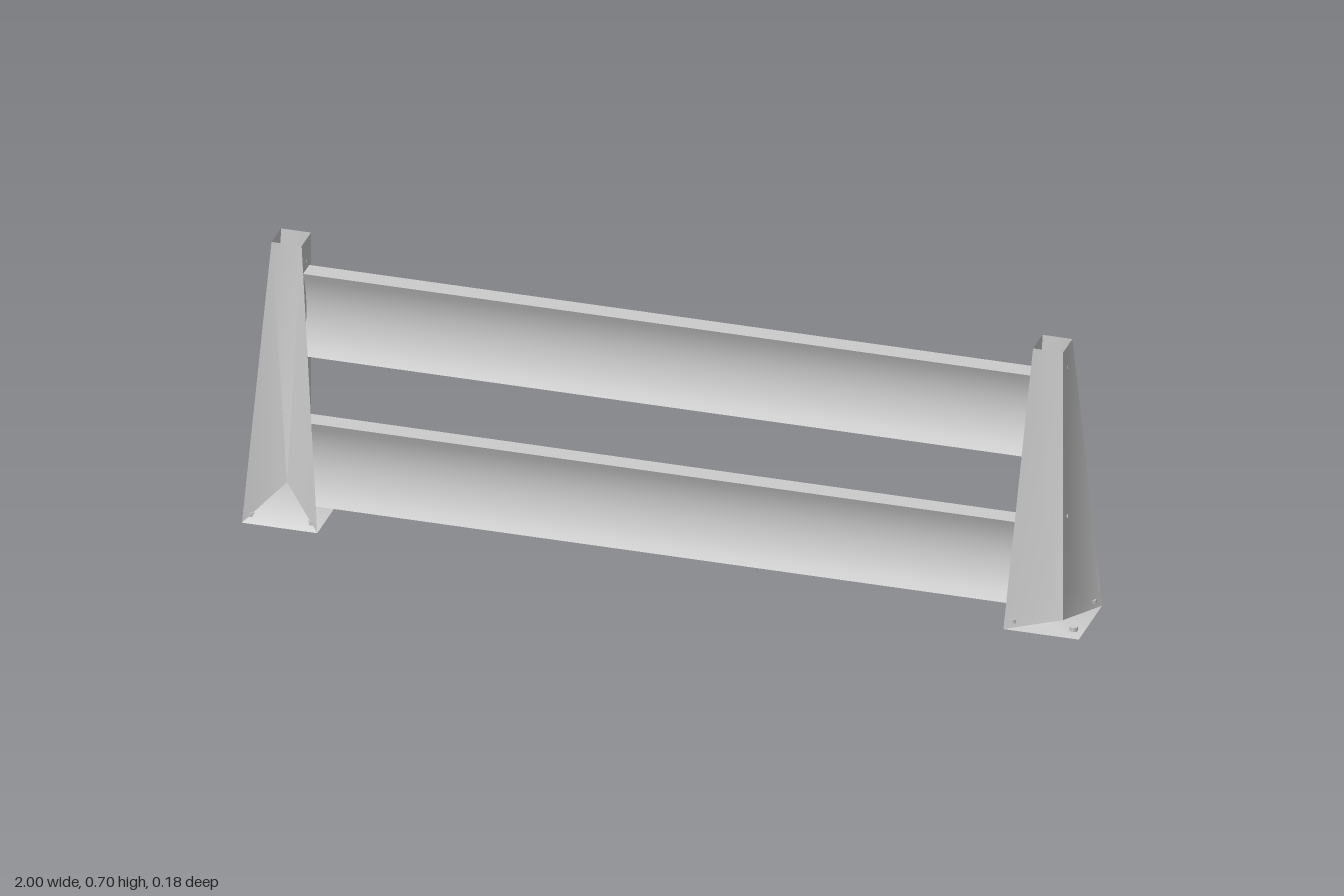
import * as THREE from 'three';
import { toCreasedNormals } from 'three/addons/utils/BufferGeometryUtils.js';

const steel = new THREE.MeshStandardMaterial({ color: 0xcccccc, side: THREE.DoubleSide });
steel.name = 'lightGreySteel';

const H = 0.7, TOP = 0.036, BASE = 0.09, LIP = 0.016;
const CORNERS = [[1, 1], [1, -1], [-1, -1], [-1, 1]];

function facets(name, triangles) {
  const geometry = new THREE.BufferGeometry();
  geometry.setAttribute('position', new THREE.Float32BufferAttribute(triangles.flat(2), 3));
  const mesh = new THREE.Mesh(toCreasedNormals(geometry, 0.7), steel);
  mesh.name = name;
  return mesh;
}

// Open post: three corners flare out to the base, the first one drops straight
function createPost(name) {
  const post = new THREE.Group();
  post.name = name;
  const at = ([x, z], r, y) => [x * r, y, z * r];
  const foot = (i) => (i === 0 ? at(CORNERS[0], TOP, LIP) : at(CORNERS[i], BASE, 0));
  const shell = [], plate = [];
  for (let i = 0; i < 4; i++) {
    const j = (i + 1) % 4;
    const a = CORNERS[i], b = CORNERS[j];
    const middle = [(a[0] + b[0]) / 2, (a[1] + b[1]) / 2];
    const aTop = at(a, TOP, H), bTop = at(b, TOP, H), midTop = at(middle, TOP, H);
    const fold = at(middle, 0.033, 0.09);
    shell.push(
      [aTop, fold, midTop], [aTop, foot(i), fold],
      [foot(i), foot(j), fold],
      [fold, bTop, midTop], [fold, foot(j), bTop]
    );
    // Base plate rises slightly towards the opening
    const aOut = at(a, BASE, 0), bOut = at(b, BASE, 0);
    const aIn = at(a, TOP, LIP), bIn = at(b, TOP, LIP);
    plate.push([aIn, aOut, bOut], [aIn, bOut, bIn]);

    // Small screw heads on the centre line of each wall
    for (const y of [0.265, 0.645]) {
      const screw = new THREE.Mesh(new THREE.BoxGeometry(0.004, 0.006, 0.004), steel);
      screw.name = 'screwHead';
      screw.position.set(...at(middle, 0.035, y));
      post.add(screw);
    }
  }
  post.add(facets('postShell', shell), facets('basePlate', plate));

  // Anchor bolts in the plate corners
  for (const [x, z] of CORNERS) {
    const bolt = new THREE.Mesh(new THREE.CylinderGeometry(0.01, 0.01, 0.01, 6), steel);
    bolt.name = 'anchorBolt';
    bolt.position.set(x * 0.073, 0.018, z * 0.073);
    post.add(bolt);
  }
  return post;
}

// Rail section: flat back, front hollowed by a shallow curve
function createRailGeometry(length, height, depth, hollow) {
  const h = height / 2, d = depth / 2;
  const section = new THREE.Shape();
  section.moveTo(d, -h);
  section.lineTo(d, h);
  section.lineTo(-d, h);
  section.quadraticCurveTo(-d + 2 * hollow, 0, -d, -h);
  const geometry = new THREE.ExtrudeGeometry(section, { depth: length, bevelEnabled: false, curveSegments: 10 });
  geometry.translate(0, 0, -length / 2).rotateY(Math.PI / 2);
  return toCreasedNormals(geometry, 0.5);
}

export function createModel() {
  const model = new THREE.Group();
  model.name = 'guardBarrier';

  const leftPost = createPost('leftPost');
  leftPost.position.x = 0.91;
  const rightPost = createPost('rightPost');
  rightPost.position.x = -0.91;
  rightPost.rotation.y = Math.PI / 2;
  model.add(leftPost, rightPost);

  // Two deep horizontal rails between the posts
  const railGeometry = createRailGeometry(1.765, 0.21, 0.048, 0.028);
  for (const [name, bottom] of [['lowerRail', 0.033], ['upperRail', 0.413]]) {
    const rail = new THREE.Mesh(railGeometry, steel);
    rail.name = name;
    rail.position.y = bottom + 0.105;
    model.add(rail);
  }
  return model;
}
